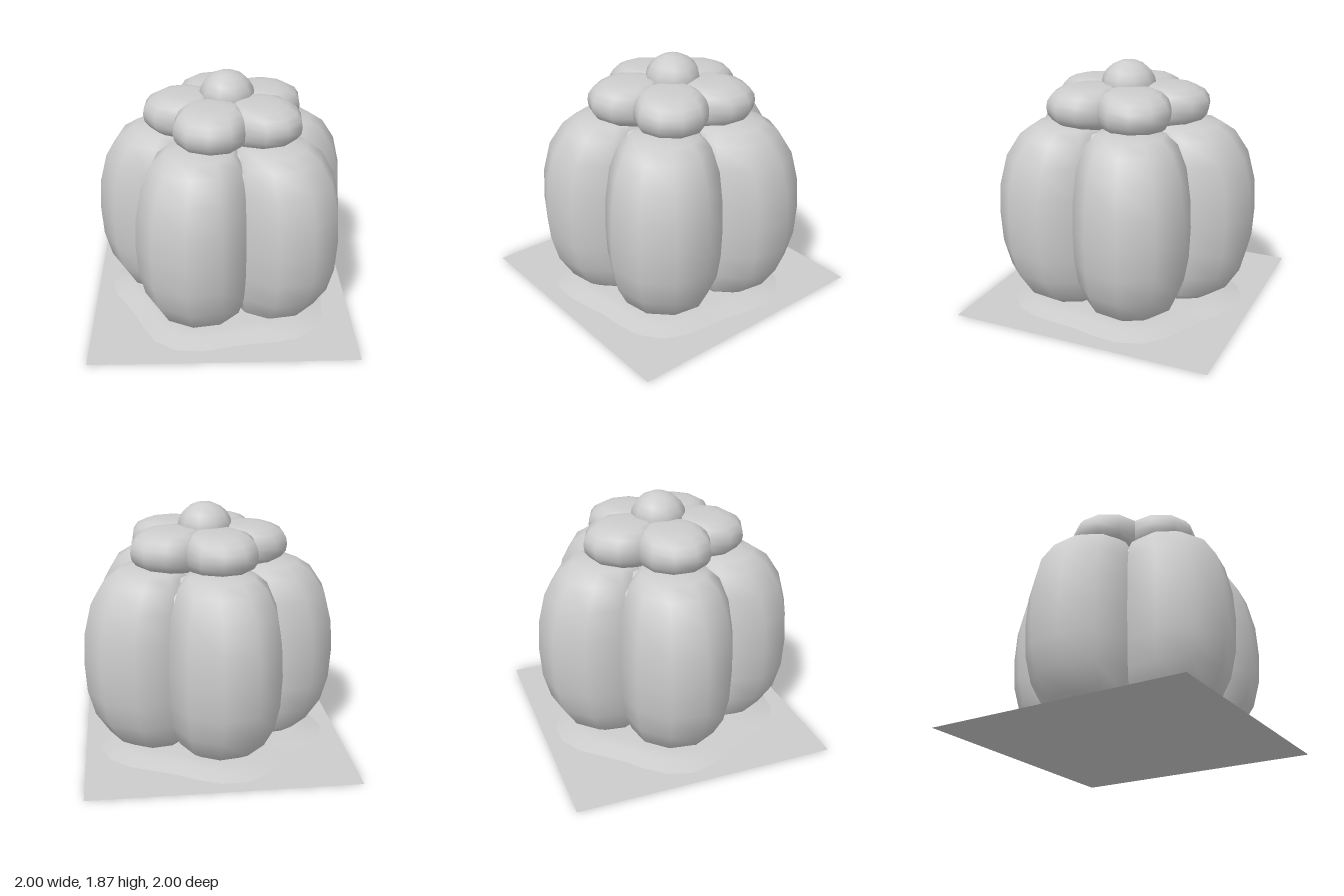
import * as THREE from 'three';
import { mergeVertices } from 'three/addons/utils/BufferGeometryUtils.js';

const rad = THREE.MathUtils.degToRad;

// Weld seams so that moved vertices get smooth normals
function smooth(geo) {
  geo.deleteAttribute('uv');
  geo.deleteAttribute('normal');
  const g = mergeVertices(geo, 1e-4);
  g.computeVertexNormals();
  return g;
}

function lathe(profile, sides, move) {
  const geo = new THREE.LatheGeometry(profile.map(([r, y]) => new THREE.Vector2(r, y)), sides);
  const p = geo.attributes.position, v = new THREE.Vector3();
  for (let i = 0; i < p.count; i++) {
    v.fromBufferAttribute(p, i);
    if (move) move(v);
    p.setXYZ(i, v.x, v.y, v.z);
  }
  return smooth(geo);
}

export function createModel() {
  const model = new THREE.Group();
  model.name = 'ribbedPlant';
  const gray = new THREE.MeshStandardMaterial({ color: 0xcccccc, side: THREE.DoubleSide });
  gray.name = 'plainGray';

  const add = (parent, name, geo) => {
    const mesh = new THREE.Mesh(geo, gray);
    mesh.name = name;
    parent.add(mesh);
    return mesh;
  };

  // Ground sheet
  add(model, 'ground', new THREE.PlaneGeometry(2, 2).rotateX(-Math.PI / 2));

  const cx = 0.046, cz = 0.014, start = rad(-27.4);

  // Low mound with a wavy rim that follows the lobes
  const mound = add(model, 'mound', lathe(
    [[0.86, 0.002], [0.74, 0.035], [0.64, 0.058], [0, 0.06]], 30, v => {
      const k = 1 + 0.07 * Math.cos(5 * (Math.atan2(v.z, v.x) - start));
      v.x *= k;
      v.z *= k;
    }));
  mound.position.set(0.02, 0, cz);

  // Core filling the valleys between lobes
  const core = add(model, 'core', lathe(
    [[0, 0.06], [0.45, 0.09], [0.6, 0.2], [0.68, 0.4], [0.725, 0.75],
      [0.68, 1.1], [0.6, 1.3], [0.45, 1.4], [0, 1.43]], 20));
  core.position.set(cx, 0, cz);

  // One lobe, offset from the axis, with both ends curving inward
  const lobe = lathe(
    [[0, 0.055], [0.13, 0.06], [0.25, 0.08], [0.33, 0.15], [0.39, 0.32], [0.42, 0.52],
      [0.43, 0.755], [0.42, 0.98], [0.39, 1.2], [0.33, 1.36], [0.25, 1.43], [0.13, 1.45], [0, 1.455]],
    10, v => { v.x += 0.57 - 0.12 * Math.abs((v.y - 0.755) / 0.7) ** 3; });

  const ring = (name, part, angle) => {
    const g = new THREE.Group();
    g.name = name;
    for (let i = 0; i < 5; i++) {
      add(g, part, lobe).rotation.y = -(angle + i * rad(72));
    }
    g.position.set(cx, 0, cz);
    model.add(g);
    return g;
  };

  // Body lobes, then the same ring squashed for the petals on top
  ring('body', 'bodyLobe', start);
  const flower = ring('flower', 'petal', rad(-32.5));
  flower.scale.set(0.63, 0.22, 0.63);
  flower.position.y = 1.39;

  // Central bud
  const bud = add(model, 'bud', smooth(new THREE.SphereGeometry(0.205, 10, 10)));
  bud.scale.y = 0.88;
  bud.position.set(cx, 1.69, 0);

  return model;
}
